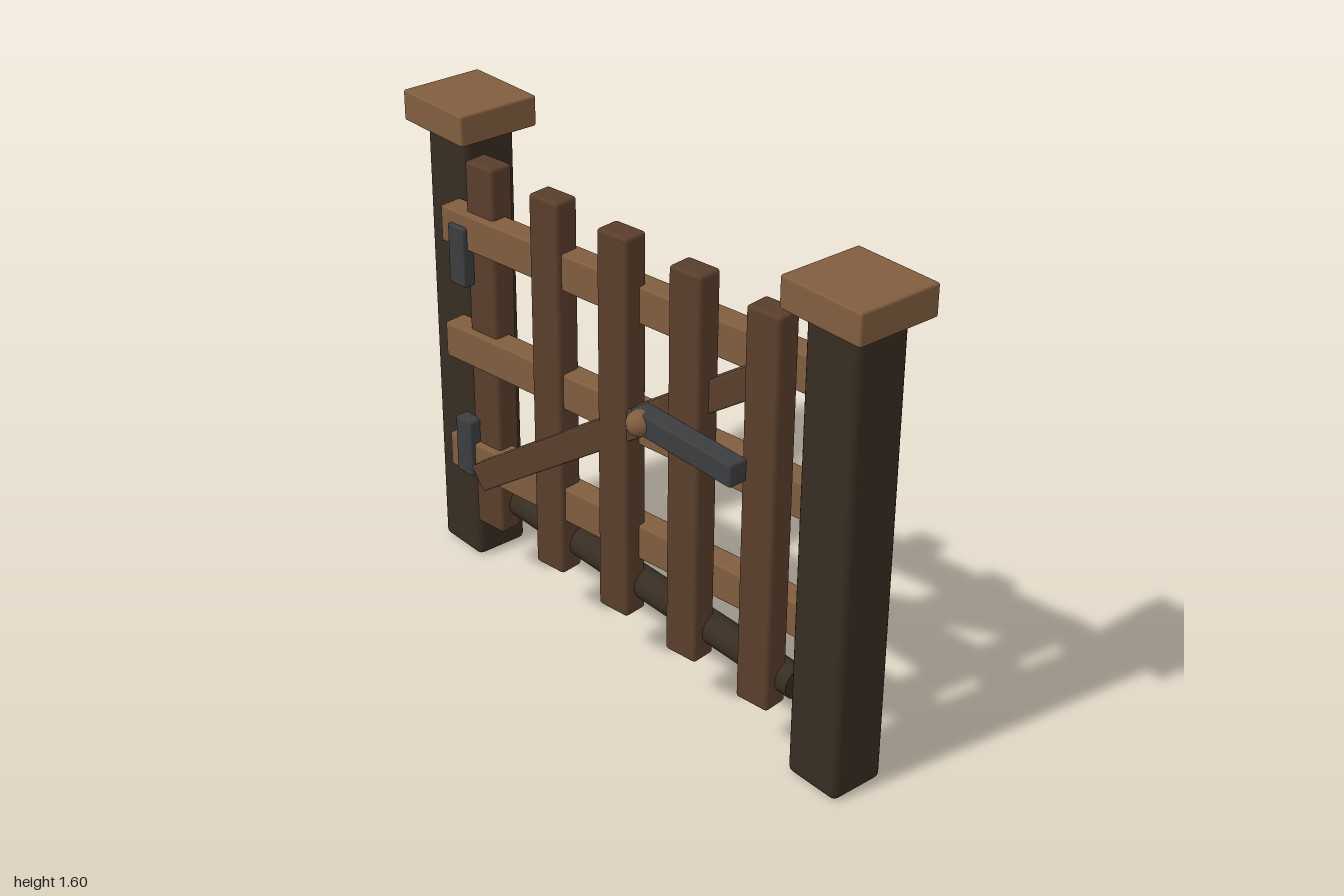
import * as THREE from 'three';
import { RoundedBoxGeometry } from 'three/addons/geometries/RoundedBoxGeometry.js';

const material = (name, color) => {
  const m = new THREE.MeshStandardMaterial({ color });
  m.name = name;
  return m;
};

export function createModel() {
  const darkWood = material('dark wood', 0x372d22);
  const lightWood = material('light wood', 0x805d3e);
  const brownWood = material('brown wood', 0x593e2b);
  const iron = material('iron', 0x3b3d3f);

  const gate = new THREE.Group();
  gate.name = 'gate';
  const swing = 0.122; // the gate stands slightly ajar

  function add(name, geometry, mat, x, y, z, parent = gate) {
    const mesh = new THREE.Mesh(geometry, mat);
    mesh.name = name;
    mesh.position.set(x, y, z);
    parent.add(mesh);
    return mesh;
  }
  const block = (w, h, d, r) => new RoundedBoxGeometry(w, h, d, 2, r);

  // Posts and their caps
  for (const side of [-1, 1]) {
    const label = side > 0 ? 'left' : 'right';
    add(label + 'Post', block(0.2, 1.5, 0.19, 0.022), darkWood, side * 0.85, 0.75, -0.057);
    add(label + 'PostCap', block(0.3, 0.1, 0.285, 0.008), lightWood, side * 0.85, 1.55, -0.057);
  }

  // Round bar between the posts
  const bar = add('bottomBar', new THREE.CylinderGeometry(0.05, 0.05, 1.47, 16), darkWood, 0, 0.28, -0.01);
  bar.rotation.z = Math.PI / 2;

  // Swung frame: three rails and the diagonal brace
  const frame = new THREE.Group();
  frame.name = 'swungFrame';
  frame.rotation.y = swing;
  gate.add(frame);
  for (const y of [0.44, 0.84, 1.24]) {
    add('rail', block(1.57, 0.12, 0.08, 0.008), lightWood, 0, y, -0.015, frame);
  }
  const brace = add('brace', block(1.475, 0.09, 0.07, 0.006), brownWood, 0, 0.83, 0.04, frame);
  brace.rotation.z = 0.598;

  // Pickets, each turned in place
  for (let i = -2; i <= 2; i++) {
    const picket = add('picket', block(0.12, 1.275, 0.085, 0.012), brownWood, i * 0.316 - 0.003, 0.8275, 0.037);
    picket.rotation.y = swing;
  }

  // Hinges
  for (const y of [0.482, 1.157]) {
    add('hinge', block(0.075, 0.2, 0.05, 0.008), iron, -0.698, y, 0.1).rotation.y = swing / 2;
  }

  // Latch with its knob
  add('latchBar', block(0.425, 0.073, 0.065, 0.008), iron, 0.403, 0.98, 0.133);
  add('latchKnob', new THREE.SphereGeometry(0.04, 20, 14), lightWood, 0.225, 0.98, 0.16);

  return gate;
}
